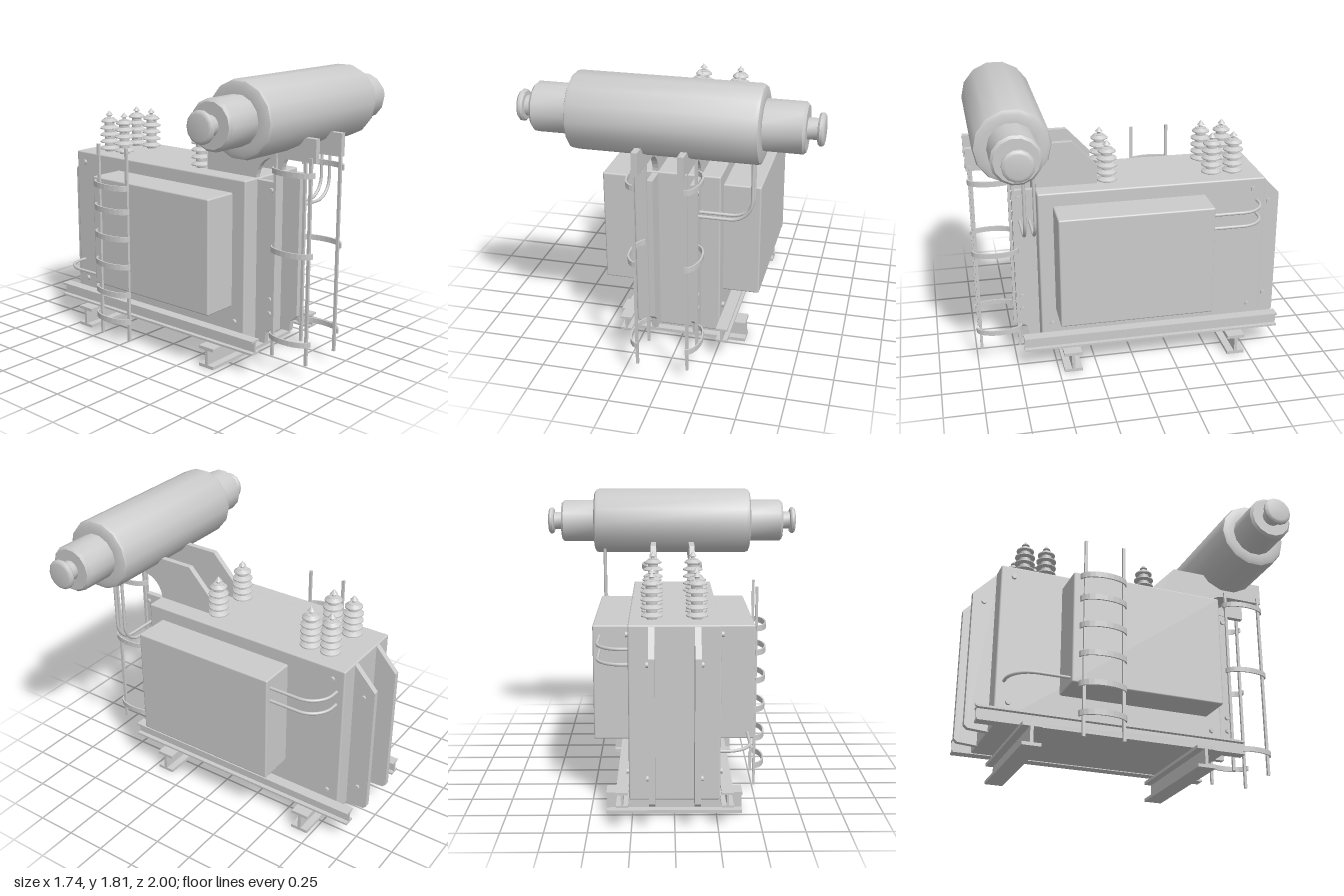
import * as THREE from 'three';
import { toCreasedNormals } from 'three/addons/utils/BufferGeometryUtils.js';
import { RoundedBoxGeometry } from 'three/addons/geometries/RoundedBoxGeometry.js';

const grey = new THREE.MeshStandardMaterial({ color: 0xcccccc });
const V = (x, y, z) => new THREE.Vector3(x, y, z);

export function createModel() {
  const root = new THREE.Group();
  root.name = 'transformer';

  const add = (name, geo, x = 0, y = 0, z = 0) => {
    const m = new THREE.Mesh(geo, grey);
    m.name = name;
    m.position.set(x, y, z);
    root.add(m);
    return m;
  };
  // Rounded box given by its limits
  const block = (name, x0, x1, y0, y1, z0, z1, r = 0.01) =>
    add(name, new RoundedBoxGeometry(x1 - x0, y1 - y0, z1 - z0, 2, r),
      (x0 + x1) / 2, (y0 + y1) / 2, (z0 + z1) / 2);
  // Plate drawn in (z, y) and extruded across x, centred on x
  const plate = (name, shape, x, w) => {
    const g = new THREE.ExtrudeGeometry(shape, { depth: w, bevelEnabled: false, curveSegments: 8 });
    g.rotateY(-Math.PI / 2).translate(w / 2, 0, 0);
    return add(name, g, x);
  };
  const polygon = pts => new THREE.Shape(pts.map(p => new THREE.Vector2(...p)));
  const lathe = (pts, seg, crease = 0.6) =>
    toCreasedNormals(new THREE.LatheGeometry(pts.map(p => new THREE.Vector2(...p)), seg), crease);

  // Pipe through points with rounded corners
  const pipe = (name, pts, bend, r = 0.01) => {
    const path = new THREE.CurvePath();
    let from = pts[0];
    for (let i = 1; i < pts.length - 1; i++) {
      const a = pts[i].clone().add(pts[i - 1].clone().sub(pts[i]).setLength(bend));
      const b = pts[i].clone().add(pts[i + 1].clone().sub(pts[i]).setLength(bend));
      const k = 0.55;
      path.add(new THREE.LineCurve3(from, a));
      path.add(new THREE.CubicBezierCurve3(a, a.clone().lerp(pts[i], k), b.clone().lerp(pts[i], k), b));
      from = b;
    }
    path.add(new THREE.LineCurve3(from, pts[pts.length - 1]));
    add(name, new THREE.TubeGeometry(path, 48, r, 8));
  };

  // Main tank and side radiator boxes
  block('tank', -0.265, 0.265, 0.14, 1.18, -0.86, 0.59);
  for (const s of [-1, 1])
    block('sideBox', s > 0 ? 0.25 : -0.49, s > 0 ? 0.49 : -0.25, 0.38, 1.095, -0.47, 0.495);

  // I-beam: length along z, standing on y = 0
  const beam = (w, h, len, t) => {
    const a = w / 2, b = t / 2;
    const s = polygon([[-a, 0], [a, 0], [a, t], [b, t], [b, h - t], [a, h - t],
      [a, h], [-a, h], [-a, h - t], [-b, h - t], [-b, t], [-a, t]]);
    return new THREE.ExtrudeGeometry(s, { depth: len, bevelEnabled: false }).translate(0, 0, -len / 2);
  };
  for (const z of [0.41, -0.67])
    add('crossBeam', beam(0.115, 0.135, 0.81, 0.02), 0, 0, z).rotation.y = Math.PI / 2;
  for (const s of [-1, 1])
    add('sideRail', beam(0.07, 0.09, 1.68, 0.013), s * 0.302, 0.138, -0.13);

  // Bolt heads on the outer faces
  const boltGeo = new THREE.CylinderGeometry(0.016, 0.016, 0.025, 10).rotateZ(Math.PI / 2);
  for (const s of [-1, 1]) {
    for (const [y, z] of [[1.11, -0.78], [0.29, -0.78], [0.29, 0.52]])
      add('tankBolt', boltGeo, s * 0.269, y, z);
    for (const [y, z] of [[0.97, -0.93], [0.3, -0.93], [1.12, 0.695], [0.44, 0.695], [0.35, 0.695]])
      add('finBolt', boltGeo, s * 0.15, y, z);
  }

  // Stiffening fins and the curved conservator brackets
  const backFin = polygon([[-0.85, 0.14], [-0.98, 0.15], [-1, 0.17], [-1, 1.02], [-0.86, 1.17], [-0.85, 1.17]]);
  const frontFin = polygon([[0.58, 0.15], [0.66, 0.15], [0.67, 0.22], [0.715, 0.26], [0.715, 1.17], [0.58, 1.17]]);
  const bracket = new THREE.Shape();
  bracket.moveTo(0.2, 1.17);
  bracket.lineTo(0.58, 1.17);
  bracket.bezierCurveTo(0.58, 1.25, 0.64, 1.32, 0.72, 1.32);
  bracket.lineTo(1, 1.32);
  bracket.lineTo(1, 1.46);
  bracket.lineTo(0.35, 1.46);
  bracket.lineTo(0.2, 1.3);
  for (const s of [-1, 1]) {
    plate('backFin', backFin, s * 0.13, 0.036);
    plate('frontFin', frontFin, s * 0.13, 0.036);
    plate('conservatorBracket', bracket, s * 0.13, 0.036);
  }

  // Conservator drum with stepped ends and knobs
  const half = [[0.515, 0.225], [0.535, 0.218], [0.545, 0.195], [0.545, 0.145], [0.76, 0.145],
    [0.775, 0.13], [0.775, 0.06], [0.83, 0.06], [0.833, 0.083], [0.843, 0.092],
    [0.857, 0.092], [0.867, 0.083], [0.87, 0.07], [0.87, 0]];
  const profile = [...half.map(([x, r]) => [r, -x]).reverse(), ...half.map(([x, r]) => [r, x])];
  const drum = add('conservator', lathe(profile, 14, 0.7), 0, 1.59, 0.748);
  drum.rotation.z = -Math.PI / 2;

  // Ribbed insulators on the lid
  const ribs = [[0, 0], [0.03, 0]];
  for (let i = 0; i < 5; i++) {
    const y = 0.02 + i * 0.046;
    const r = i === 4 ? 0.055 : 0.063;
    ribs.push([0.034, y - 0.006], [r, y], [r, y + 0.007], [0.034, y + 0.024]);
  }
  ribs.push([0.034, 0.23], [0.012, 0.235], [0.012, 0.245], [0.024, 0.25], [0, 0.28]);
  const insulator = lathe(ribs, 20, 0.5);
  for (const x of [-0.13, 0.13])
    for (const z of [0.135, -0.54, -0.68]) add('insulator', insulator, x, 1.175, z);

  // Pipes from the conservator down to the front fin
  for (const z of [0.63, 0.69])
    pipe('conservatorPipe', [V(0.472, 1.45, z), V(0.472, 0.965, z), V(0.135, 0.965, z)], 0.13);
  // Pipes joining the side boxes to the tank
  for (const [s, y] of [[1, 1.03], [1, 0.94], [-1, 0.42]])
    pipe('sidePipe', [V(s * 0.45, y, -0.46), V(s * 0.45, y, -0.81), V(s * 0.255, y, -0.81)], 0.15);

  // Bowed flat strap between two z positions, bulging along dir * x
  const strap = (name, x, y, zc, halfLen, bulge, dir, h) => {
    const pts = [], n = 12, t = 0.01;
    const arc = (k, l, b) => {
      const a = Math.PI * k / n;
      return new THREE.Vector2(dir * b * Math.sin(a), l * Math.cos(a));
    };
    for (let k = 0; k <= n; k++) pts.push(arc(k, halfLen, bulge));
    for (let k = n; k >= 0; k--) pts.push(arc(k, halfLen - t, bulge - t));
    const g = new THREE.ExtrudeGeometry(new THREE.Shape(pts), { depth: h, bevelEnabled: false });
    g.rotateX(Math.PI / 2).translate(0, h / 2, 0);
    add(name, g, x, y, zc);
  };

  // Side ladder
  const sidePole = new THREE.BoxGeometry(0.016, 1.26, 0.018);
  for (const z of [-0.155, -0.4]) add('ladderPole', sidePole, -0.5, 0.685, z);
  for (const y of [0.19, 0.37, 0.555, 0.738, 0.915, 1.065])
    strap('ladderRung', -0.497, y, -0.285, 0.148, 0.073, -1, 0.035);

  // Front poles with bowed straps
  const frontPole = new THREE.BoxGeometry(0.016, 1.26, 0.018);
  for (const s of [-1, 1]) {
    for (const z of [0.725, 0.972]) add('frontPole', frontPole, s * 0.152, 0.72, z);
    for (const y of [0.227, 0.772, 1.25])
      strap('frontStrap', s * 0.145, y, 0.85, 0.148, 0.073, s, 0.033);
  }

  return root;
}
